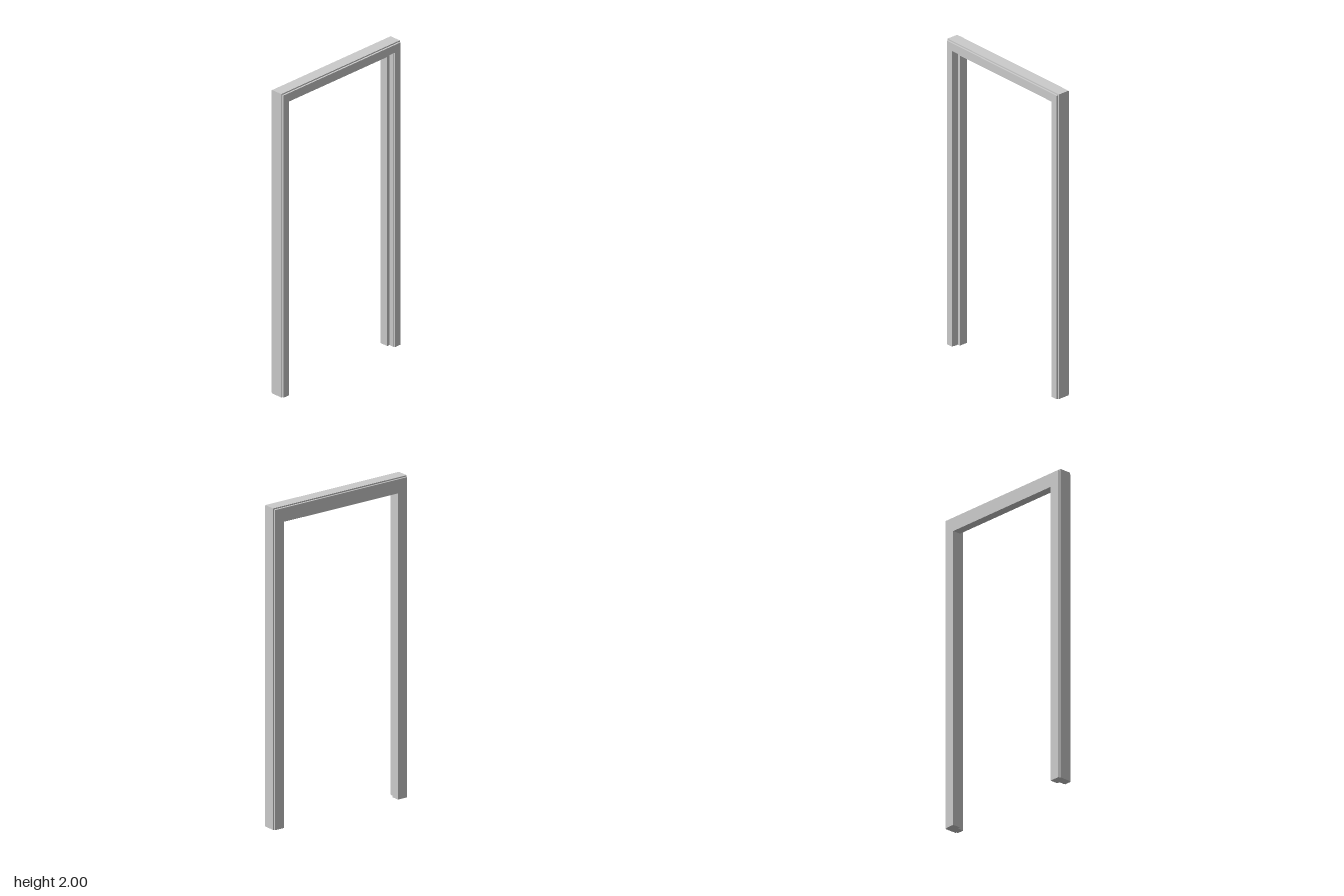
import * as THREE from 'three';

const material = new THREE.MeshStandardMaterial({ color: 0xcccccc, flatShading: true });

// One arch-shaped layer: two jambs and a head, open at the floor, between z0 and z1
function archLayer(name, outerX, topY, innerX, headY, z0, z1) {
  const shape = new THREE.Shape([
    [-outerX, 0], [-innerX, 0], [-innerX, headY], [innerX, headY],
    [innerX, 0], [outerX, 0], [outerX, topY], [-outerX, topY],
  ].map(([x, y]) => new THREE.Vector2(x, y)));
  const geometry = new THREE.ExtrudeGeometry(shape, { depth: z1 - z0, bevelEnabled: false });
  geometry.translate(0, 0, z0);
  const mesh = new THREE.Mesh(geometry, material);
  mesh.name = name;
  return mesh;
}

export function createModel() {
  const frame = new THREE.Group();
  frame.name = 'doorFrame';
  frame.add(
    // Back face, flush with the door stop
    archLayer('backFacing', 0.486, 1.992, 0.42, 1.905, -0.049, -0.038),
    // Deep part of the lining that forms the door stop
    archLayer('doorStop', 0.493, 2, 0.42, 1.905, -0.038, 0.006),
    // Rebate that receives the door leaf
    archLayer('rebateLining', 0.493, 2, 0.438, 1.937, 0.006, 0.038),
    // Front face, slightly set back from the rebate edge
    archLayer('frontFacing', 0.486, 1.992, 0.441, 1.941, 0.038, 0.049),
  );
  return frame;
}
